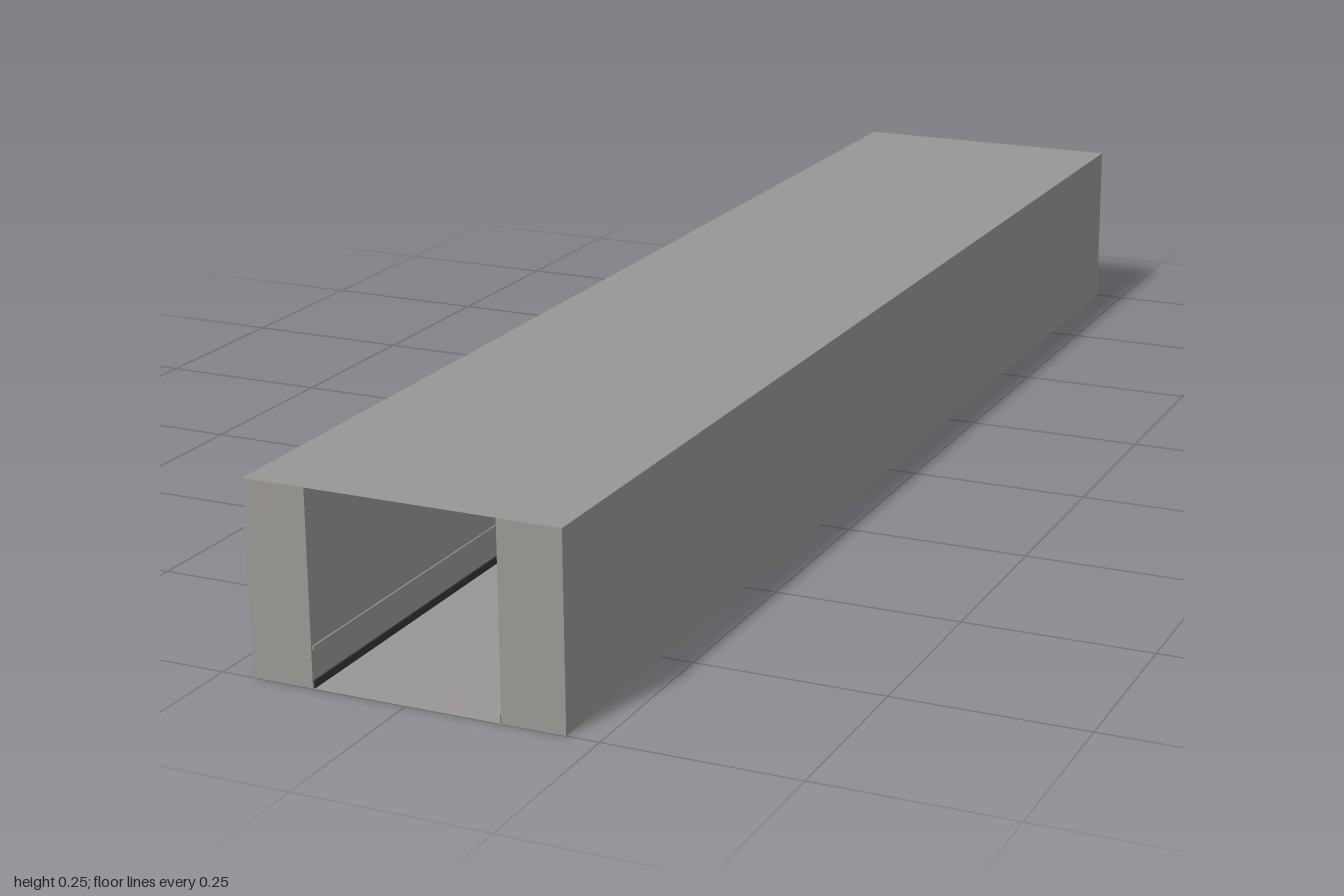
import * as THREE from 'three';

const mat = (name, color) => Object.assign(new THREE.MeshStandardMaterial({ color }), { name });

export function createModel() {
  const concrete = mat('concrete grey', 0x989794);
  const slate = mat('slate', 0x5a5f61);
  const dark = mat('dark trim', 0x353535);
  const slab = concrete.clone();
  slab.side = THREE.DoubleSide;

  const group = new THREE.Group();
  group.name = 'corridor';
  const L = 2, H = 0.25, inner = 0.125, outer = 0.208;

  const box = (name, material, w, h, d, x, y, z) => {
    const mesh = new THREE.Mesh(new THREE.BoxGeometry(w, h, d), material);
    mesh.name = name;
    mesh.position.set(x, y, z);
    group.add(mesh);
  };

  // Thick side walls with skirting and a slim rail along the inside
  for (const [side, s] of [['left', 1], ['right', -1]]) {
    box(side + 'Wall', concrete, outer - inner, H, L, s * (inner + outer) / 2, H / 2, 0);
    box(side + 'Skirting', dark, 0.002, 0.01, L - 0.004, s * (inner - 0.001), 0.005, 0);
    box(side + 'Rail', concrete, 0.002, 0.004, L - 0.004, s * (inner - 0.001), 0.051, 0);
  }

  // Paper-thin floor and ceiling spanning the passage
  for (const [name, y] of [['floor', 0], ['ceiling', H]]) {
    const mesh = new THREE.Mesh(new THREE.PlaneGeometry(inner * 2, L), slab);
    mesh.name = name;
    mesh.rotation.x = -Math.PI / 2;
    mesh.position.y = y;
    group.add(mesh);
  }

  // Row of small fittings under the ceiling
  for (let i = -2; i <= 2; i++) {
    box('ceilingFitting', concrete, 0.058, 0.015, 0.02, 0, 0.23, i * 0.44);
  }

  // Dark panel in the middle of the passage, with a lip below
  box('panel', slate, 0.16, 0.126, 0.06, 0, 0.143, 0);
  box('panelLip', dark, 0.164, 0.004, 0.064, 0, 0.078, 0);

  // Flat floor plates
  box('floorPlate', dark, 0.016, 0.002, 0.03, -0.097, 0.001, 0);
  box('floorPlate', dark, 0.026, 0.002, 0.03, 0.075, 0.001, 0);

  return group;
}
